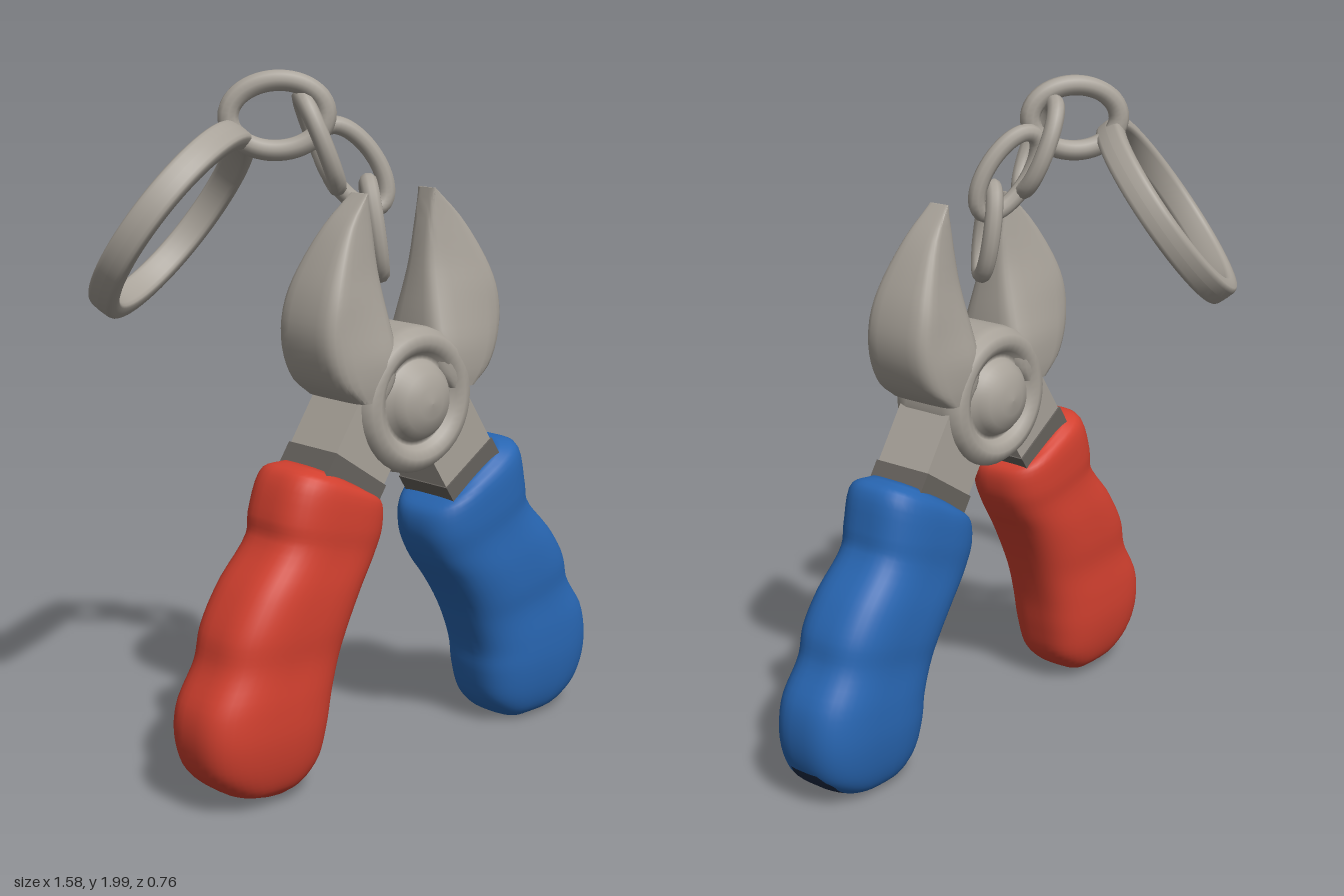
import * as THREE from 'three';
import { toCreasedNormals } from 'three/addons/utils/BufferGeometryUtils.js';

const mat = (name, color) => Object.assign(new THREE.MeshStandardMaterial({ color }), { name });
const Z = 0.215; // middle plane of the tool

// Loft between an outer and an inner edge. Each station: [outerX, outerY, innerX, innerY, outerHalfDepth, innerHalfDepth]
// isPatch(x, y, z) moves matching faces to a second material group.
function loft(stations, { steps, sides, power, isPatch = () => false }) {
  const outer = new THREE.CatmullRomCurve3(stations.map(s => new THREE.Vector3(s[0], s[1], s[4])));
  const inner = new THREE.CatmullRomCurve3(stations.map(s => new THREE.Vector3(s[2], s[3], s[5] ?? s[4])));
  const pos = [], main = [], patch = [];
  const bend = v => Math.sign(v) * Math.pow(Math.abs(v), 2 / power);
  for (let i = 0; i <= steps; i++) {
    const o = outer.getPoint(i / steps), n = inner.getPoint(i / steps);
    for (let j = 0; j < sides; j++) {
      const a = (j + 0.5) / sides * Math.PI * 2;
      const p = n.clone().lerp(o, (bend(Math.cos(a)) + 1) / 2);
      pos.push(p.x, p.y, Z + p.z * bend(Math.sin(a)));
    }
  }
  const tris = [];
  const at = (i, j) => i * sides + j % sides;
  for (let i = 0; i < steps; i++) for (let j = 0; j < sides; j++) {
    tris.push([at(i, j), at(i + 1, j), at(i, j + 1)], [at(i, j + 1), at(i + 1, j), at(i + 1, j + 1)]);
  }
  // End caps
  for (const [i, first] of [[0, true], [steps, false]]) {
    const o = outer.getPoint(i / steps), n = inner.getPoint(i / steps);
    const c = pos.length / 3;
    pos.push((o.x + n.x) / 2, (o.y + n.y) / 2, Z);
    for (let j = 0; j < sides; j++) tris.push(first ? [c, at(i, j), at(i, j + 1)] : [c, at(i, j + 1), at(i, j)]);
  }
  // Make the faces point outwards whichever way the stations run
  const v = k => new THREE.Vector3().fromArray(pos, k * 3);
  let volume = 0;
  for (const [a, b, c] of tris) volume += v(a).dot(v(b).cross(v(c)));
  for (const [a, b, c] of tris) {
    const m = v(a).add(v(b)).add(v(c)).divideScalar(3);
    (isPatch(m.x, m.y, m.z) ? patch : main).push(...(volume < 0 ? [a, c, b] : [a, b, c]));
  }
  const geo = new THREE.BufferGeometry();
  geo.setAttribute('position', new THREE.Float32BufferAttribute(pos, 3));
  geo.setIndex([...main, ...patch]);
  geo.addGroup(0, main.length, 0);
  if (patch.length) geo.addGroup(main.length, patch.length, 1);
  geo.computeVertexNormals();
  return geo;
}

// Oval chain link: centre, long axis, short axis, half sizes
function linkGeometry(centre, long, short, halfLong, halfShort, tube) {
  const u = new THREE.Vector3(...long).normalize();
  const w = new THREE.Vector3(...short);
  w.addScaledVector(u, -w.dot(u)).normalize();
  const pts = [];
  for (let i = 0; i < 16; i++) {
    const a = i / 16 * Math.PI * 2;
    pts.push(new THREE.Vector3(...centre)
      .addScaledVector(u, halfLong * Math.cos(a)).addScaledVector(w, halfShort * Math.sin(a)));
  }
  return new THREE.TubeGeometry(new THREE.CatmullRomCurve3(pts, true), 48, tube, 10, true);
}

export function createModel() {
  const metal = mat('metal', 0xa8a299);
  const darkMetal = mat('dark metal', 0x66625d);
  const red = mat('red grip', 0xd2402f);
  const blue = mat('blue grip', 0x2866b2);
  const navy = mat('dark patch', 0x1d2b45);

  const model = new THREE.Group();
  model.name = 'keychainPliers';
  const add = (name, geo, material, parent = model) => {
    const m = new THREE.Mesh(geo, material);
    m.name = name;
    parent.add(m);
    return m;
  };

  // Moulded grips with finger bumps on the outer side
  const blueGrip = [
    [0.39, 0.905, 0.17, 0.765, 0.10], [0.465, 0.895, 0.12, 0.72, 0.135], [0.50, 0.78, 0.115, 0.65, 0.142],
    [0.515, 0.715, 0.15, 0.565, 0.138], [0.62, 0.60, 0.21, 0.49, 0.146], [0.68, 0.51, 0.265, 0.41, 0.146],
    [0.705, 0.43, 0.30, 0.34, 0.14], [0.775, 0.32, 0.335, 0.25, 0.146], [0.79, 0.20, 0.345, 0.18, 0.145],
    [0.76, 0.10, 0.37, 0.09, 0.13], [0.68, 0.035, 0.42, 0.035, 0.105], [0.60, 0.012, 0.47, 0.01, 0.07],
  ];
  const redGrip = [
    [-0.34, 0.94, -0.14, 0.835, 0.10], [-0.41, 0.925, -0.09, 0.80, 0.135], [-0.46, 0.81, -0.088, 0.73, 0.142],
    [-0.47, 0.745, -0.115, 0.66, 0.138], [-0.57, 0.62, -0.165, 0.58, 0.146], [-0.635, 0.51, -0.21, 0.49, 0.146],
    [-0.66, 0.42, -0.245, 0.40, 0.14], [-0.72, 0.31, -0.275, 0.30, 0.146], [-0.73, 0.22, -0.295, 0.20, 0.145],
    [-0.705, 0.13, -0.32, 0.11, 0.13], [-0.63, 0.06, -0.37, 0.055, 0.105], [-0.55, 0.032, -0.42, 0.025, 0.07],
  ];
  const gripShape = { steps: 48, sides: 40, power: 3 };
  add('rightGrip', loft(redGrip, gripShape), red);
  add('leftGrip', loft(blueGrip, {
    ...gripShape,
    isPatch: (x, y, z) => x > 0.62 && y < 0.125 && Math.hypot((y - 0.075) / 0.055, (z - Z) / 0.08) < 1,
  }), [blue, navy]);

  // Jaws: thick at the hinge, tapering to a point and thinner along the cutting edge
  // [y, inner x, outer x, half depth, cutting edge thinness]
  const jaw = [
    [1.665, 0.145, 0.153, 0.035, 0.9], [1.58, 0.13, 0.24, 0.065, 0.6], [1.46, 0.115, 0.315, 0.105, 0.5],
    [1.38, 0.105, 0.348, 0.122, 0.6], [1.30, 0.095, 0.363, 0.124, 0.8], [1.22, 0.09, 0.352, 0.124, 1],
    [1.15, 0.10, 0.315, 0.124, 1], [1.10, 0.14, 0.25, 0.12, 1],
  ];
  for (const [name, map] of [['leftJaw', x => x], ['rightJaw', x => 0.04 - x]]) {
    const stations = jaw.map(([y, a, b, h, t]) => [map(b), y, map(a), y, h, h * t]);
    add(name, toCreasedNormals(loft(stations, { steps: 21, sides: 24, power: 5 }), 0.6), metal);
  }

  // Arms from the hinge down into the grips, with a dark collar at the grip
  for (const [name, x, y, dir] of [['rightArm', -0.21, 0.885, 1], ['leftArm', 0.255, 0.835, -1]]) {
    const arm = new THREE.Group();
    arm.name = name;
    arm.position.set(x, y, Z);
    arm.rotation.z = -dir * 0.58;
    add('armBar', new THREE.BoxGeometry(0.215, 0.36, 0.19).translate(0, 0.2, 0), metal, arm);
    add('armCollar', new THREE.BoxGeometry(0.222, 0.09, 0.2).translate(0, -0.01, 0), darkMetal, arm);
    model.add(arm);
  }

  // Hinge: a rounded rim and domed rivet on both faces
  const half = [[0, 0.165], [0.045, 0.16], [0.085, 0.145], [0.108, 0.122], [0.117, 0.1], [0.13, 0.1],
    [0.14, 0.118], [0.165, 0.13], [0.19, 0.123], [0.207, 0.1], [0.212, 0.07]];
  const profile = [...half.map(([r, h]) => new THREE.Vector2(r, -h)),
    ...half.slice().reverse().map(([r, h]) => new THREE.Vector2(r, h))];
  const hinge = add('hinge', new THREE.LatheGeometry(profile, 40), metal);
  hinge.rotation.x = Math.PI / 2;
  hinge.position.set(0.02, 1.08, Z);

  // Flat key ring, tilted backwards
  const band = [];
  for (let i = 0; i <= 16; i++) {
    const a = i / 16 * Math.PI * 2;
    const soft = v => Math.sign(v) * Math.sqrt(Math.abs(v));
    band.push(new THREE.Vector2(0.293 + 0.027 * soft(Math.cos(a)), 0.042 * soft(Math.sin(a))));
  }
  const ring = add('keyRing', new THREE.LatheGeometry(band, 64), metal);
  ring.quaternion.setFromUnitVectors(new THREE.Vector3(0, 1, 0), new THREE.Vector3(-0.44, 0.59, -0.68).normalize());
  ring.position.set(-0.495, 1.59, -0.125);

  // Chain from the key ring to the right jaw
  const links = [
    [[-0.265, 1.875, 0.05], [0.75, 0.05, 0.55], [0, 1, 0], 0.135, 0.095, 0.03],
    [[-0.155, 1.80, 0.10], [0.35, -1, 0.2], [0.5, 0, -0.8], 0.135, 0.07, 0.026],
    [[-0.065, 1.73, 0.14], [0.55, -0.9, 0.35], [0.8, 0.5, 0.3], 0.135, 0.068, 0.026],
    [[-0.03, 1.56, 0.19], [0.1, -1, 0.1], [0.6, 0, -0.8], 0.13, 0.06, 0.026],
  ];
  const chain = new THREE.Group();
  chain.name = 'chain';
  links.forEach((l, i) => add('chainLink' + (i + 1), linkGeometry(...l), metal, chain));
  model.add(chain);

  return model;
}
